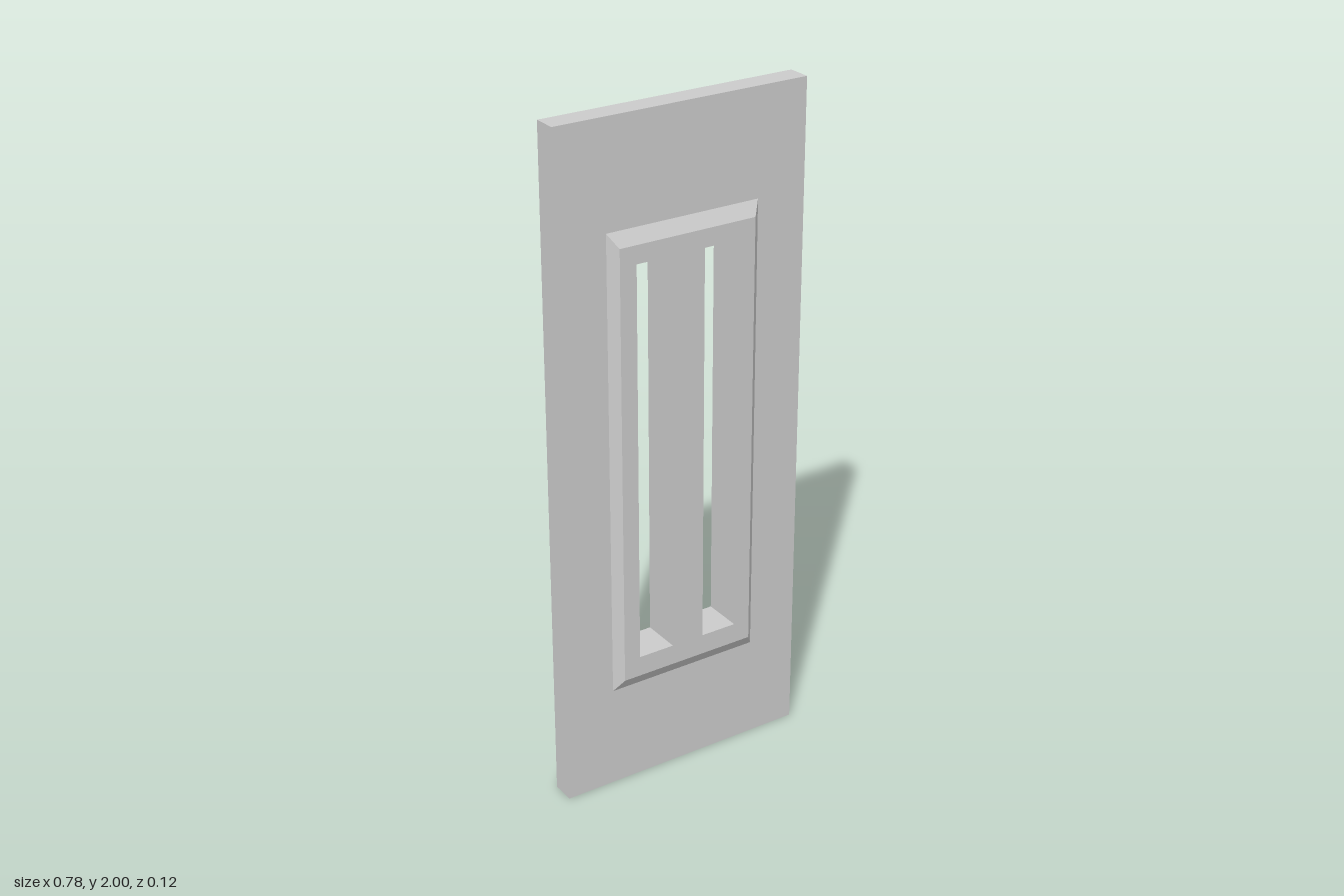
import * as THREE from 'three';
import { mergeGeometries } from 'three/addons/utils/BufferGeometryUtils.js';

// Rectangles are [x0, y0, x1, y1]
const SLAB = [-0.39, 0, 0.39, 2];
const PANEL_BASE = [-0.238, 0.31, 0.238, 1.69];
const PANEL_FACE = [-0.213, 0.349, 0.213, 1.651];
const SLOTS = [[-0.162, 0.41, -0.051, 1.598], [0.051, 0.41, 0.162, 1.598]];
const SLAB_Z = 0.035;
const PANEL_Z = 0.06;

const corners = ([x0, y0, x1, y1]) => [[x0, y0], [x1, y0], [x1, y1], [x0, y1]];
const path = (rect) => corners(rect).map(([x, y]) => new THREE.Vector2(x, y));

// Flat rectangular face with rectangular openings
function face(rect, holes, z) {
  const shape = new THREE.Shape(path(rect));
  holes.forEach((h) => shape.holes.push(new THREE.Path(path(h))));
  const geo = new THREE.ShapeGeometry(shape).translate(0, 0, z);
  geo.deleteAttribute('uv');
  return geo.toNonIndexed();
}

// Four sides joining rectangle a at za to rectangle b at zb, facing outward when zb > za
function band(a, za, b, zb) {
  const A = corners(a), B = corners(b), pos = [];
  for (let i = 0; i < 4; i++) {
    const j = (i + 1) % 4;
    const p = [...A[i], za], q = [...A[j], za], r = [...B[j], zb], s = [...B[i], zb];
    pos.push(...p, ...q, ...r, ...p, ...r, ...s);
  }
  const geo = new THREE.BufferGeometry();
  geo.setAttribute('position', new THREE.Float32BufferAttribute(pos, 3));
  geo.computeVertexNormals();
  return geo;
}

export function createModel() {
  const group = new THREE.Group();
  const material = new THREE.MeshStandardMaterial({ color: 0xcccccc, flatShading: true });
  const add = (name, geometry, parent = group) => {
    const mesh = new THREE.Mesh(geometry, material);
    mesh.name = name;
    parent.add(mesh);
  };

  // Outer edge of the door and the linings of the two through slots
  add('doorEdge', band(SLAB, -SLAB_Z, SLAB, SLAB_Z));
  SLOTS.forEach((s, i) => add(i ? 'leftSlotLining' : 'rightSlotLining', band(s, PANEL_Z, s, -PANEL_Z)));

  // Matching front and back: flat door face plus a raised panel with sloped edges
  for (const name of ['front', 'back']) {
    const side = new THREE.Group();
    side.name = name + 'Side';
    if (name === 'back') side.rotation.y = Math.PI;
    add('doorFace', face(SLAB, [PANEL_BASE], SLAB_Z), side);
    add('raisedPanel', mergeGeometries([
      band(PANEL_BASE, SLAB_Z, PANEL_FACE, PANEL_Z),
      face(PANEL_FACE, SLOTS, PANEL_Z),
    ]), side);
    group.add(side);
  }
  return group;
}
